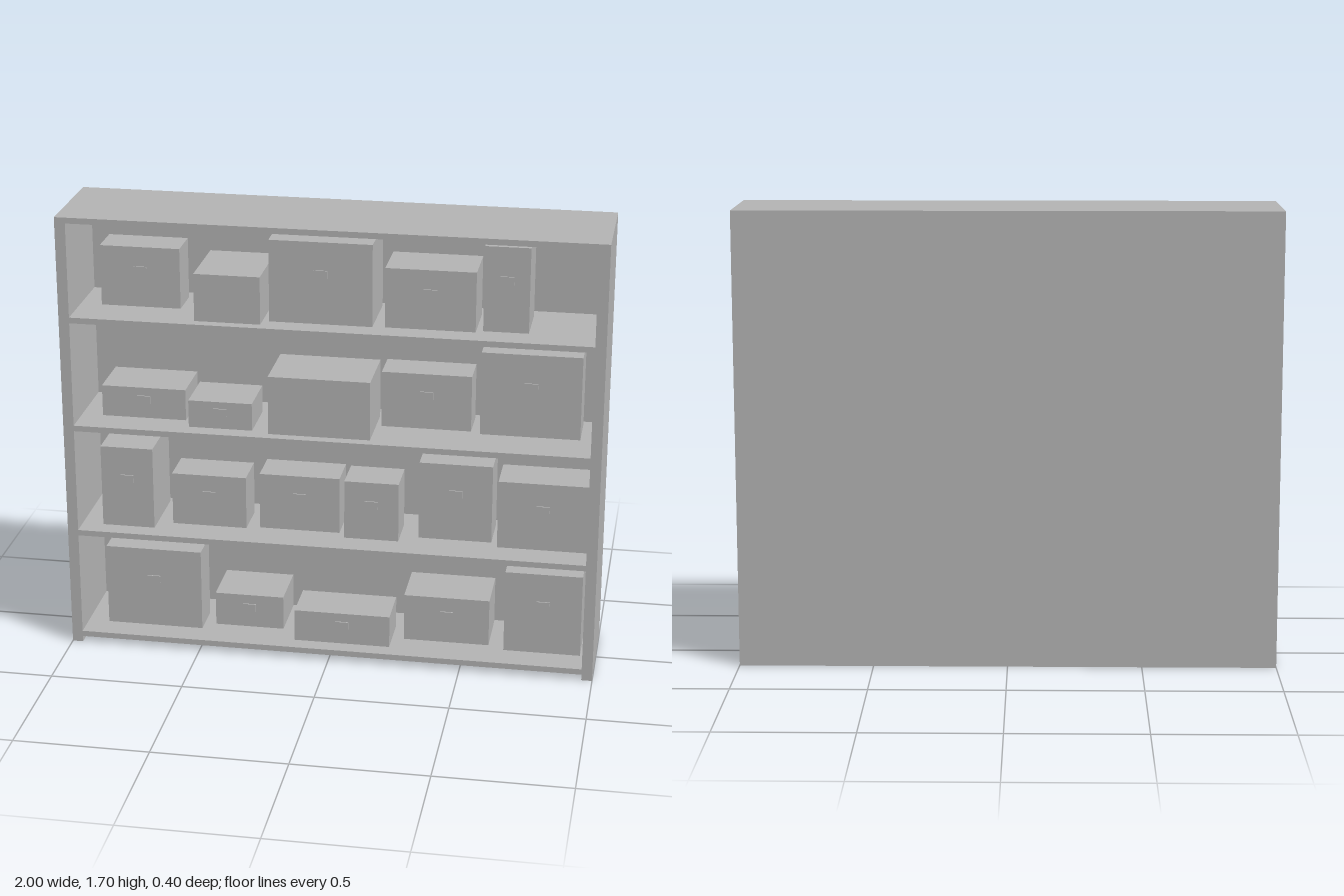
import * as THREE from 'three';

const WIDTH = 2, HEIGHT = 1.7, DEPTH = 0.4, WALL = 0.04, BOARD = 0.022;
const SHELF_TOPS = [0.045, 0.47, 0.895, 1.32];

// Per shelf, bottom to top: [left x, right x, top y, front z, depth, has label]
const ROWS = [
  [
    [-0.88, -0.51, 0.365, 0.10, 0.14, true],
    [-0.465, -0.20, 0.178, 0.053, 0.21, true],
    [-0.14, 0.225, 0.17, 0.138, 0.18, true],
    [0.27, 0.595, 0.23, 0.06, 0.21, true],
    [0.655, 0.945, 0.37, 0.09, 0.17, true],
  ],
  [
    [-0.88, -0.68, 0.79, 0.13, 0.26, true],
    [-0.62, -0.335, 0.675, 0.075, 0.155, true],
    [-0.285, 0.02, 0.69, 0.06, 0.15, true],
    [0.045, 0.25, 0.70, 0.10, 0.155, true],
    [0.32, 0.595, 0.775, 0.052, 0.17, true],
    [0.62, 0.955, 0.735, 0.09, 0.17, true],
  ],
  [
    [-0.88, -0.56, 1.015, 0.076, 0.205, true],
    [-0.535, -0.295, 1.0, 0.138, 0.20, true],
    [-0.23, 0.15, 1.12, 0.16, 0.25, false],
    [0.17, 0.505, 1.11, 0.01, 0.14, true],
    [0.54, 0.91, 1.215, 0.03, 0.16, true],
  ],
  [
    [-0.88, -0.58, 1.55, 0.033, 0.14, true],
    [-0.50, -0.255, 1.5, 0.16, 0.29, false],
    [-0.23, 0.15, 1.63, 0.118, 0.25, true],
    [0.195, 0.525, 1.545, 0.113, 0.2, true],
    [0.55, 0.715, 1.64, 0.095, 0.2, true],
  ],
];

export function createModel() {
  const model = new THREE.Group();
  model.name = 'stockedShelf';
  const grey = new THREE.MeshStandardMaterial({ color: 0xb3b3b3 });
  grey.name = 'plain grey';

  const addBox = (parent, name, w, h, d, x, y, z) => {
    const mesh = new THREE.Mesh(new THREE.BoxGeometry(w, h, d), grey);
    mesh.name = name;
    mesh.position.set(x, y, z);
    parent.add(mesh);
  };

  // Cabinet: sides and back reach the floor
  const cabinet = new THREE.Group();
  cabinet.name = 'cabinet';
  model.add(cabinet);
  const innerWidth = WIDTH - 2 * WALL;
  const innerDepth = DEPTH - WALL;
  for (const side of [-1, 1]) {
    addBox(cabinet, side > 0 ? 'leftSide' : 'rightSide', WALL, HEIGHT, DEPTH,
      side * (WIDTH - WALL) / 2, HEIGHT / 2, 0);
  }
  addBox(cabinet, 'backPanel', innerWidth, HEIGHT, WALL, 0, HEIGHT / 2, -(DEPTH - WALL) / 2);

  // Top board and shelves between the sides
  for (const top of [...SHELF_TOPS, HEIGHT]) {
    addBox(cabinet, top === HEIGHT ? 'topBoard' : 'shelf', innerWidth, BOARD, innerDepth,
      0, top - BOARD / 2, WALL / 2);
  }

  // Storage boxes, each with a small label plate
  ROWS.forEach((row, i) => {
    const base = SHELF_TOPS[i];
    for (const [left, right, top, front, depth, hasLabel] of row) {
      const box = new THREE.Group();
      box.name = 'storageBox';
      const height = top - base;
      const x = (left + right) / 2;
      addBox(box, 'carton', right - left, height, depth, x, base + height / 2, front - depth / 2);
      if (hasLabel) addBox(box, 'label', 0.05, 0.03, 0.006, x, base + height * 0.61, front + 0.002);
      model.add(box);
    }
  });

  return model;
}
